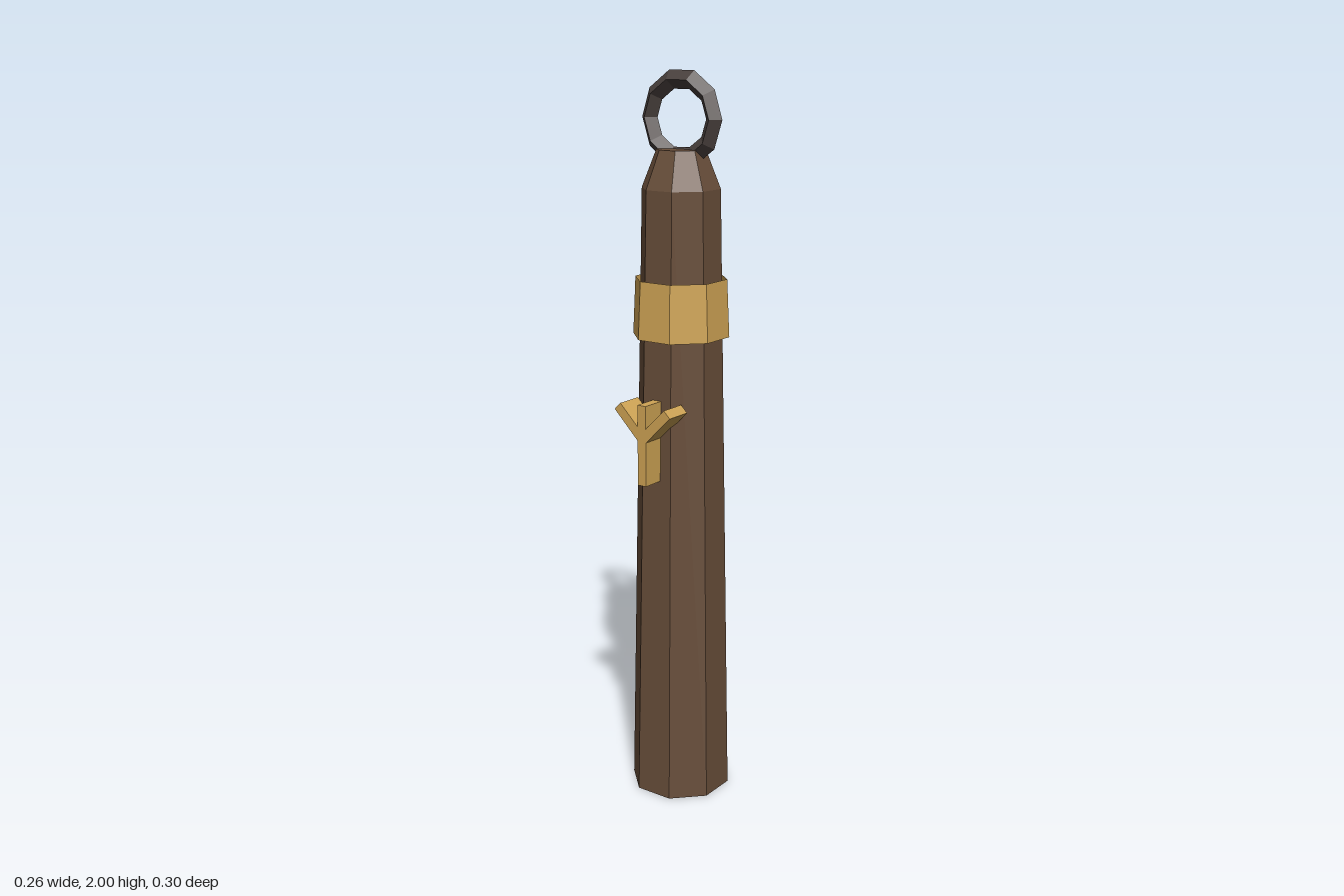
import * as THREE from 'three';

const wood = new THREE.MeshStandardMaterial({ color: 0x684e3a });
wood.name = 'wood';
const gold = new THREE.MeshStandardMaterial({ color: 0xcfa455, side: THREE.DoubleSide });
gold.name = 'gold';
const iron = new THREE.MeshStandardMaterial({ color: 0x49403d });
iron.name = 'iron';
for (const m of [wood, gold, iron]) m.flatShading = true;

const AXIS_Z = -0.023; // the post stands slightly behind the centre

function add(group, name, geometry, material, x, y, z) {
  const mesh = new THREE.Mesh(geometry, material);
  mesh.name = name;
  mesh.position.set(x, y, z);
  group.add(mesh);
  return mesh;
}

// Eight-sided tapered section with flat faces to the front and sides
function octagon(rTop, rBottom, yBottom, yTop, open) {
  const g = new THREE.CylinderGeometry(rTop, rBottom, yTop - yBottom, 8, 1, open);
  g.rotateY(Math.PI / 8);
  g.translate(0, (yBottom + yTop) / 2, 0);
  return g;
}

export function createModel() {
  const model = new THREE.Group();
  model.name = 'ringedPost';

  // Tapered post: long shaft and short bevelled top, one closed profile
  const profile = [[0, 0], [0.14, 0], [0.106, 1.7], [0.066, 1.8], [0, 1.8]]
    .map(([r, y]) => new THREE.Vector2(r, y));
  const post = new THREE.LatheGeometry(profile, 8, Math.PI / 8);
  add(model, 'post', post, wood, 0, 0, AXIS_Z);

  // Loose open collar
  add(model, 'collar', octagon(0.125, 0.132, 1.31, 1.465, true), gold, 0, 0, AXIS_Z);

  // Ring with a diamond section
  add(model, 'ring', new THREE.TorusGeometry(0.102, 0.025, 4, 10), iron, 0, 1.878, -0.025);

  // Forked emblem standing out from the front
  const emblem = new THREE.Group();
  emblem.name = 'emblem';
  model.add(emblem);
  const depth = 0.077;
  const z = 0.1135;
  add(emblem, 'emblemStem', new THREE.BoxGeometry(0.027, 0.22, depth), gold, -0.001, 1.04, z);
  for (const side of [-1, 1]) {
    const arm = new THREE.BoxGeometry(0.027, 0.11, depth);
    const mesh = add(emblem, side > 0 ? 'leftArm' : 'rightArm', arm, gold, side * 0.042, 1.099, z);
    mesh.rotation.z = -side * Math.PI / 4;
  }
  return model;
}
